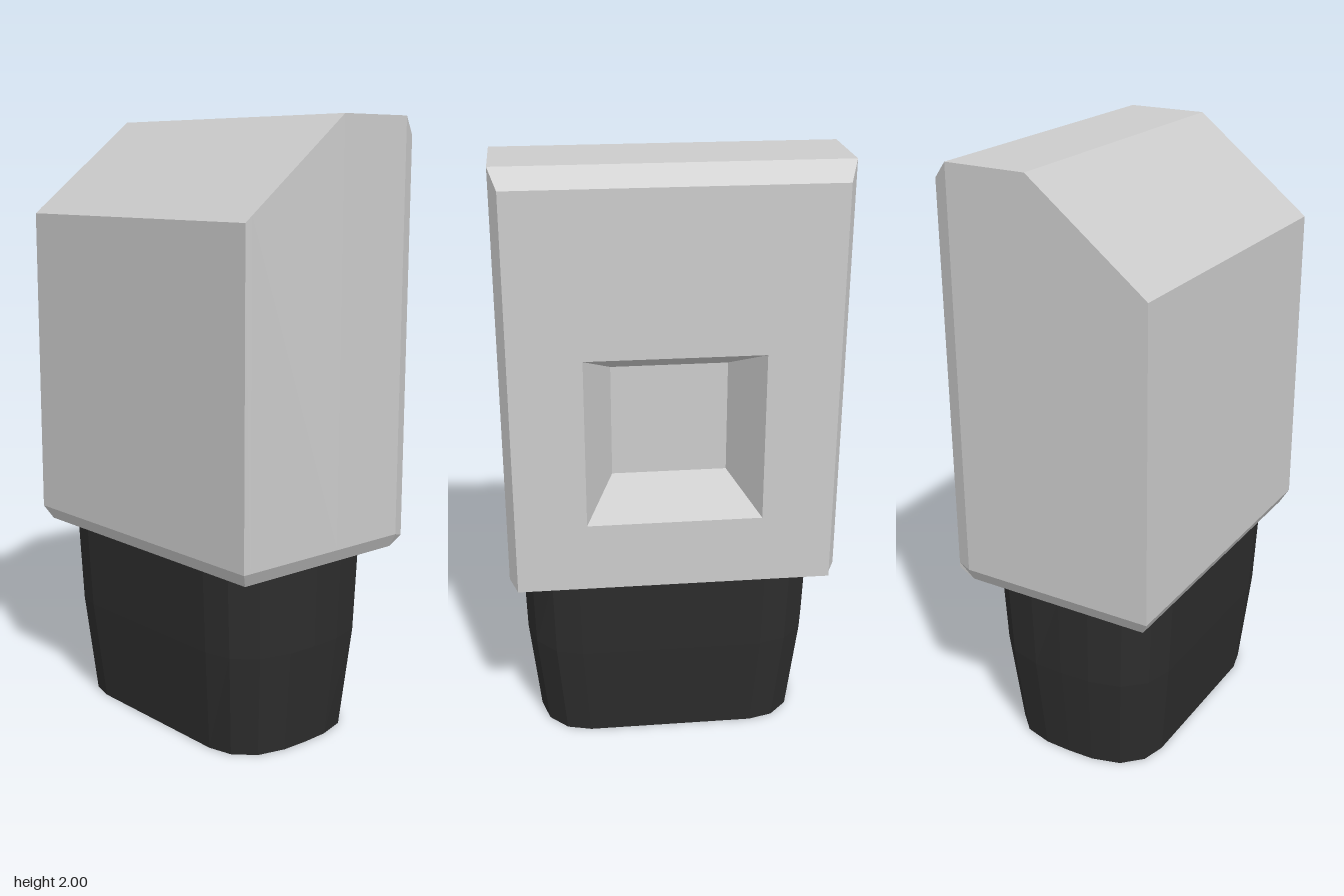
import * as THREE from 'three';

// Skin a stack of closed loops; loops run counter-clockwise around the stacking direction.
function loft(loops, capStart, capEnd) {
  const pos = [];
  const tri = (a, b, c) => {
    const area = b.clone().sub(a).cross(c.clone().sub(a)).length();
    if (area > 1e-8) for (const p of [a, b, c]) pos.push(p.x, p.y, p.z);
  };
  const n = loops[0].length;
  for (let k = 0; k + 1 < loops.length; k++) {
    const a = loops[k], b = loops[k + 1];
    for (let i = 0; i < n; i++) {
      const j = (i + 1) % n;
      tri(a[i], a[j], b[j]);
      tri(a[i], b[j], b[i]);
    }
  }
  const first = loops[0], last = loops[loops.length - 1];
  for (let i = 1; i + 1 < n; i++) {
    if (capStart) tri(first[0], first[i + 1], first[i]);
    if (capEnd) tri(last[0], last[i], last[i + 1]);
  }
  const geo = new THREE.BufferGeometry();
  geo.setAttribute('position', new THREE.Float32BufferAttribute(pos, 3));
  geo.computeVertexNormals();
  return geo;
}

// Section of the head at x: top height, side half width, chamfer start, base height and half width
function headLoop([x, top, w, mid, base, wb]) {
  return [[top, -w], [top, w], [mid, w], [base, wb], [base, -wb], [mid, -w]]
    .map(([y, z]) => new THREE.Vector3(x, y, z));
}

// Rounded section of the sleeve, from one quarter outline mirrored four ways
const QUARTER = [[1, 0.62], [0.92, 0.8], [0.69, 0.935], [0.34, 0.993]];
function sleeveLoop([y, cx, rx, rz]) {
  const back = QUARTER.map(([u, v]) => [u, -v]);
  const flip = (list) => list.map(([u, v]) => [-u, -v]);
  const half = [...back, [0, -1], ...back.map(([u, v]) => [-u, v]).reverse()];
  return [...half, ...flip(half)].map(([u, v]) => new THREE.Vector3(cx + u * rx, y, v * rz));
}

export function createModel() {
  const model = new THREE.Group();
  const add = (name, geo, color) => {
    const mat = new THREE.MeshStandardMaterial({ color, flatShading: true });
    const mesh = new THREE.Mesh(geo, mat);
    mesh.name = name;
    model.add(mesh);
  };

  // Head with sloped top, chamfered base and face, and a tapered square recess
  const head = [
    [-0.365, 1.69, 0.533, 0.66, 0.66, 0.533],
    [-0.34, 1.71, 0.533, 0.66, 0.615, 0.51],
    [0.03, 2, 0.533, 0.66, 0.615, 0.51],
    [0.305, 2, 0.533, 0.66, 0.615, 0.51],
    [0.362, 1.943, 0.507, 0.66, 0.642, 0.507],
    [0.362, 1.425, 0.28, 0.89, 0.87, 0.28],
    [0.18, 1.335, 0.187, 0.98, 0.963, 0.187],
  ];
  add('head', loft(head.map(headLoop), true, true), 0xcccccc);

  // Hollow tapered sleeve: socket floor, inner wall, rim, outer wall
  const sleeve = [
    [0.33, -0.018, 0.278, 0.464],
    [0, -0.018, 0.245, 0.428],
    [0, -0.018, 0.267, 0.452],
    [0.34, -0.018, 0.302, 0.488],
    [0.62, -0.018, 0.317, 0.496],
  ];
  add('sleeve', loft(sleeve.map(sleeveLoop), true, false), 0x2d2d2d);

  return model;
}
